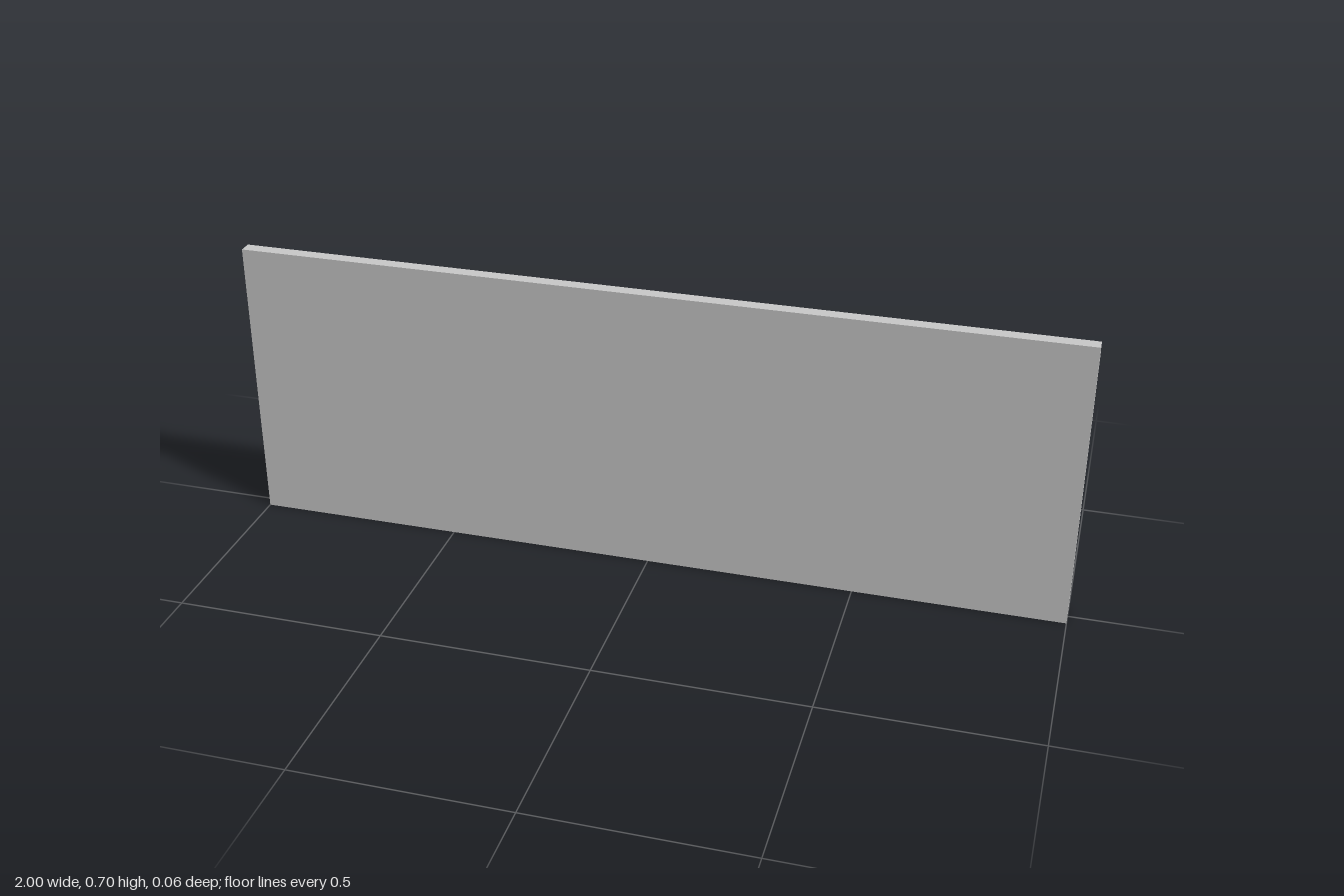
import * as THREE from 'three';

export function createModel() {
  const group = new THREE.Group();
  const grey = new THREE.MeshStandardMaterial({ color: 0xc8c8c8 });
  grey.name = 'lightGrey';

  // Box given by its limits on each axis
  function box(name, [x0, x1], [y0, y1], [z0, z1]) {
    const mesh = new THREE.Mesh(new THREE.BoxGeometry(x1 - x0, y1 - y0, z1 - z0), grey);
    mesh.position.set((x0 + x1) / 2, (y0 + y1) / 2, (z0 + z1) / 2);
    mesh.name = name;
    group.add(mesh);
  }

  // Board with a slightly thicker lip along its top edge
  const back = 0.001;
  box('panel', [-1, 1], [0, 0.68], [back, 0.0305]);
  box('topLip', [-1, 1], [0.68, 0.703], [-0.001, 0.0305]);

  // Posts at both ends and in the middle
  const w = 0.035;
  for (const [name, x] of [['leftPost', 1 - w / 2], ['middlePost', 0], ['rightPost', -1 + w / 2]]) {
    box(name, [x - w / 2, x + w / 2], [0, 0.667], [-0.0305, back]);
  }

  // Two rails in each bay between the posts
  for (const [name, y] of [['lowerRail', 0.151], ['upperRail', 0.543]]) {
    box(name, [w / 2, 1 - w], [y, y + 0.026], [-0.009, back]);
    box(name, [w - 1, -w / 2], [y, y + 0.026], [-0.009, back]);
  }
  return group;
}
